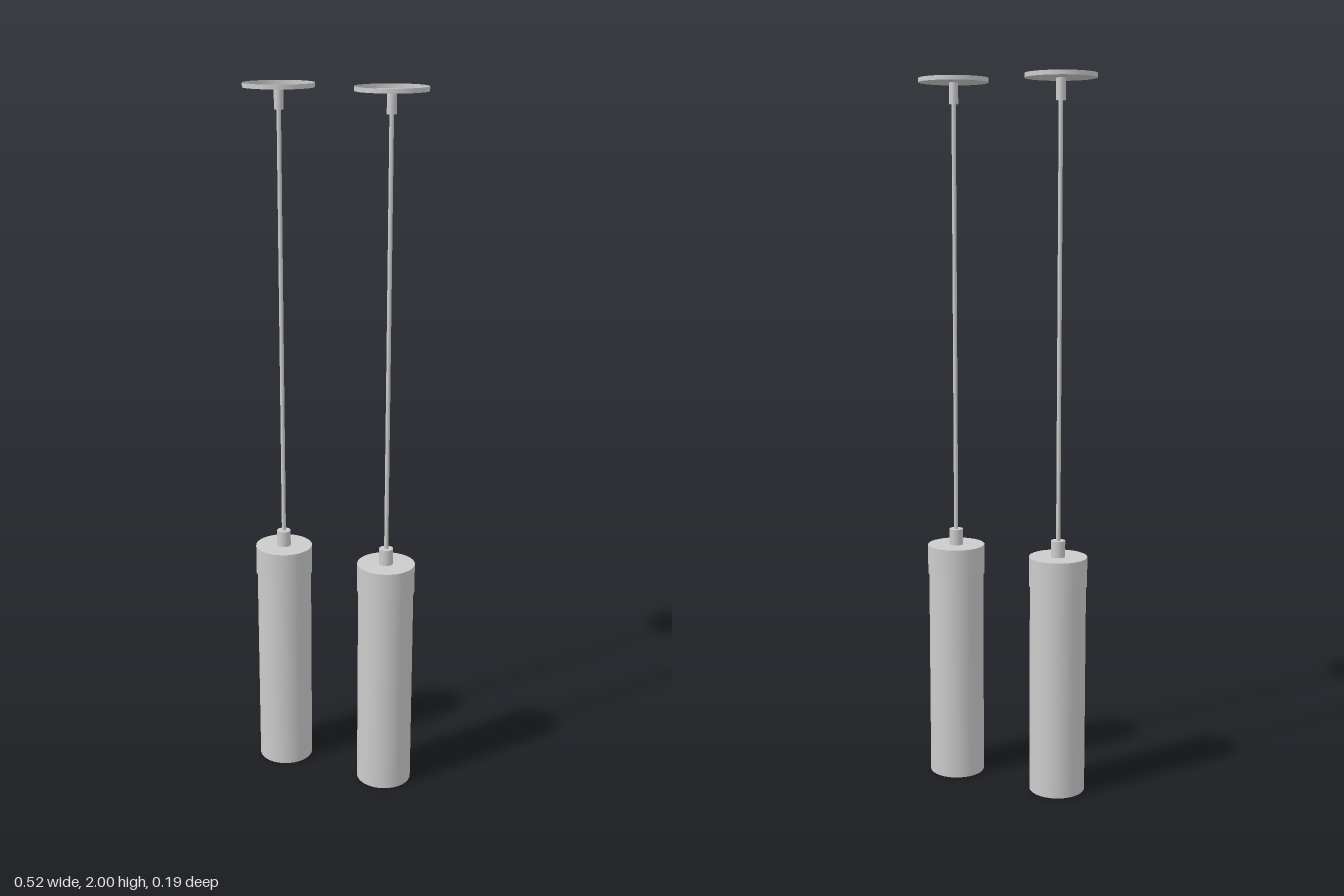
import * as THREE from 'three';

const material = new THREE.MeshStandardMaterial({ color: 0xcccccc });
const openMaterial = new THREE.MeshStandardMaterial({ color: 0xcccccc, side: THREE.DoubleSide });
const SIDES = 32;

// Upright cylinder between two heights
function rod(name, radius, bottom, top, sides = SIDES, open = false) {
  const geometry = new THREE.CylinderGeometry(radius, radius, top - bottom, sides, 1, open);
  const mesh = new THREE.Mesh(geometry, open ? openMaterial : material);
  mesh.name = name;
  mesh.position.y = (bottom + top) / 2;
  return mesh;
}

function disc(name, radius, y) {
  const mesh = new THREE.Mesh(new THREE.CircleGeometry(radius, SIDES), openMaterial);
  mesh.name = name;
  mesh.rotation.x = -Math.PI / 2;
  mesh.position.y = y;
  return mesh;
}

function createPendant() {
  const pendant = new THREE.Group();
  pendant.add(
    // Shallow ceiling dish, open towards the ceiling
    rod('canopyRim', 0.097, 1.988, 2, SIDES, true),
    disc('canopyPlate', 0.097, 1.988),
    // Suspension
    rod('upperCordGrip', 0.013, 1.93, 1.988, 20),
    rod('cord', 0.006, 0.73, 1.93, 12),
    rod('lowerCordGrip', 0.02, 0.684, 0.73, 20),
    // Cap sleeve over the open-bottomed shade
    rod('capSleeve', 0.082, 0.6, 0.684, SIDES, true),
    disc('capTop', 0.082, 0.684),
    rod('shade', 0.079, 0, 0.68, SIDES, true)
  );
  return pendant;
}

export function createModel() {
  const model = new THREE.Group();
  model.name = 'pendantLamps';
  for (const side of [-1, 1]) {
    const pendant = createPendant();
    pendant.name = side < 0 ? 'rightPendant' : 'leftPendant';
    pendant.position.x = side * 0.163;
    model.add(pendant);
  }
  return model;
}
